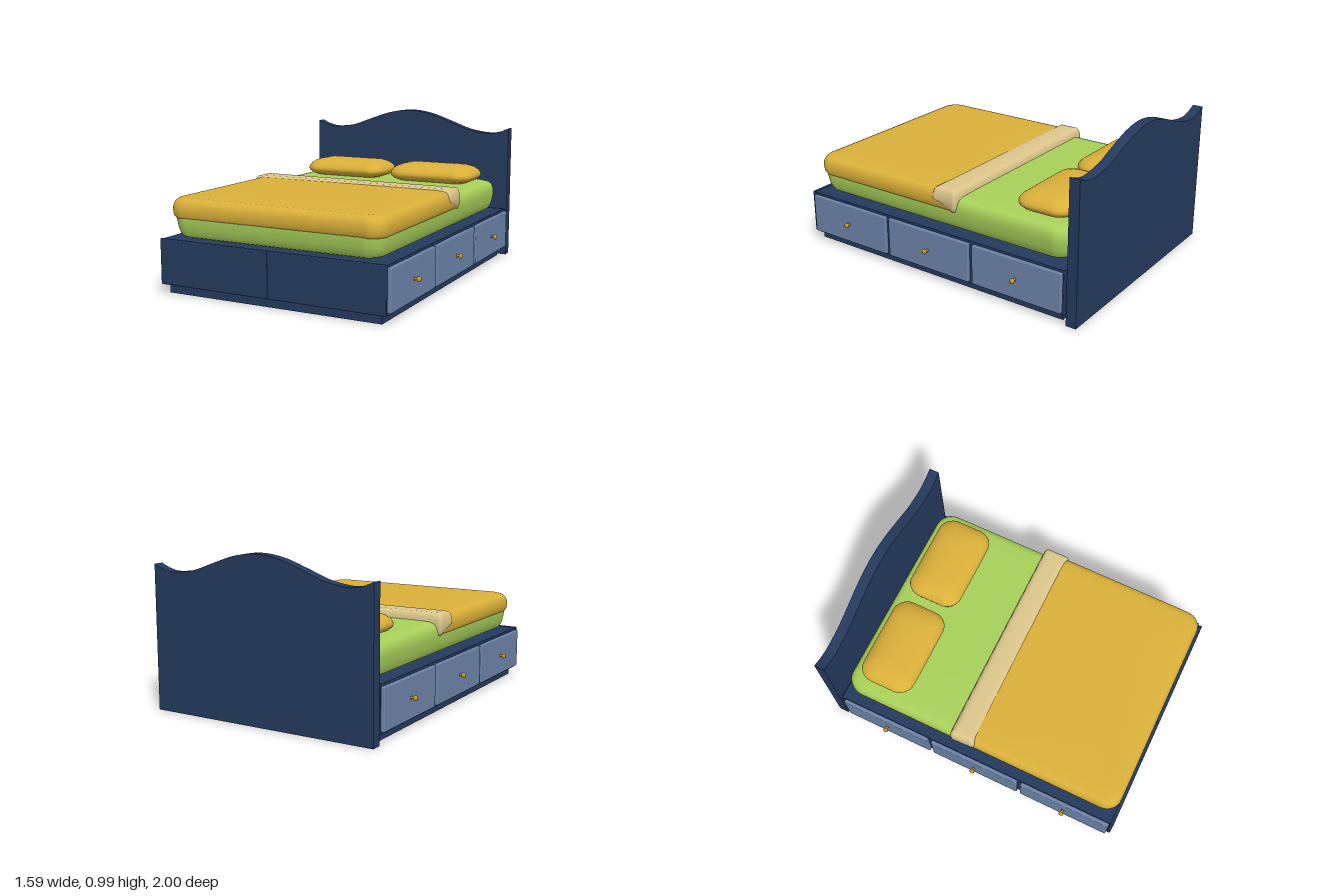
import * as THREE from 'three';
import { RoundedBoxGeometry } from 'three/addons/geometries/RoundedBoxGeometry.js';

const mat = (name, color, side = THREE.FrontSide) => {
  const m = new THREE.MeshStandardMaterial({ color, side });
  m.name = name;
  return m;
};

// Soft slab lofted from rounded rectangles; rings are [y, inset], bottom to top.
function softSlab(halfW, zBack, zFront, rFront, rBack, rings) {
  const steps = 8, pos = [], idx = [];
  const n = 4 * (steps + 1);
  const zMid = (zBack + zFront) / 2;
  for (const [y, inset] of rings) {
    for (let c = 0; c < 4; c++) {
      const front = c < 2;
      const r = Math.max((front ? rFront : rBack) - inset * 0.5, 0.01);
      const sx = c === 0 || c === 3 ? 1 : -1;
      const cx = sx * (halfW - inset - r);
      const cz = front ? zFront - inset - r : zBack + inset + r;
      for (let s = 0; s <= steps; s++) {
        const a = (c + s / steps) * Math.PI / 2;
        pos.push(cx + r * Math.cos(a), y, cz + r * Math.sin(a));
      }
    }
  }
  for (let j = 0; j < rings.length - 1; j++) {
    for (let i = 0; i < n; i++) {
      const a = j * n + i, b = j * n + (i + 1) % n;
      idx.push(a, a + n, b, b, a + n, b + n);
    }
  }
  const last = (rings.length - 1) * n, bottom = rings.length * n, top = bottom + 1;
  pos.push(0, rings[0][0], zMid, 0, rings[rings.length - 1][0], zMid);
  for (let i = 0; i < n; i++) {
    const k = (i + 1) % n;
    idx.push(bottom, i, k, top, last + k, last + i);
  }
  const g = new THREE.BufferGeometry();
  g.setAttribute('position', new THREE.Float32BufferAttribute(pos, 3));
  g.setIndex(idx);
  g.computeVertexNormals();
  return g;
}

export function createModel() {
  const bed = new THREE.Group();
  bed.name = 'bed';
  const navy = mat('navy wood', 0x243a5e);
  const slate = mat('slate drawer', 0x6c83a8);
  const green = mat('green fabric', 0xa8d05a);
  const gold = mat('golden fabric', 0xdab03a);
  const cream = mat('cream fabric', 0xdcc68c);
  const brass = mat('brass', 0xc9982a);

  const add = (name, geometry, material, x = 0, y = 0, z = 0, parent = bed) => {
    const m = new THREE.Mesh(geometry, material);
    m.name = name;
    m.position.set(x, y, z);
    parent.add(m);
    return m;
  };
  const box = (name, material, x0, x1, y0, y1, z0, z1, r = 0) => add(name,
    r ? new RoundedBoxGeometry(x1 - x0, y1 - y0, z1 - z0, 2, r)
      : new THREE.BoxGeometry(x1 - x0, y1 - y0, z1 - z0),
    material, (x0 + x1) / 2, (y0 + y1) / 2, (z0 + z1) / 2);

  // Headboard with a wavy top
  const half = [[0.745, 0.885], [0.67, 0.856], [0.59, 0.846], [0.45, 0.866], [0.3, 0.918], [0.15, 0.967]];
  const wave = [...half, [0, 0.986], ...half.map(([x, y]) => [-x, y]).reverse()]
    .map(([x, y]) => new THREE.Vector2(x, y));
  const board = new THREE.Shape([
    new THREE.Vector2(-0.745, 0), new THREE.Vector2(0.745, 0),
    ...new THREE.SplineCurve(wave).getPoints(60),
  ]);
  add('headboard', new THREE.ExtrudeGeometry(board, { depth: 0.065, bevelEnabled: false }), navy, 0, 0, -1);

  // Base: plinth, carcass, end panels in two halves
  box('plinth', navy, -0.7, 0.7, 0, 0.06, -0.89, 0.965);
  box('carcass', navy, -0.733, 0.733, 0.052, 0.328, -0.912, 0.982);
  for (const s of [-1, 1]) {
    const x0 = s < 0 ? -0.738 : 0.002, x1 = s < 0 ? -0.002 : 0.738;
    box('footPanel', navy, x0, x1, 0.055, 0.332, 0.978, 1, 0.006);
    box('backPanel', navy, x0, x1, 0.055, 0.325, -0.928, -0.908, 0.006);
  }

  // Three drawers with knobs on each side
  const knob = new THREE.LatheGeometry([
    [0, 0], [0.012, 0], [0.008, 0.004], [0.006, 0.012], [0.011, 0.017], [0.016, 0.024],
    [0.016, 0.03], [0.011, 0.037], [0, 0.04],
  ].map(([r, y]) => new THREE.Vector2(r, y)), 16);
  for (const s of [-1, 1]) {
    for (const z of [-0.6, 0.035, 0.67]) {
      const d = new THREE.Group();
      d.name = 'drawer';
      d.position.set(s * 0.744, 0.19, z);
      bed.add(d);
      add('drawerFront', new RoundedBoxGeometry(0.026, 0.25, 0.61, 2, 0.008), slate, 0, 0, 0, d);
      add('knob', knob, brass, s * 0.012, 0, 0, d).rotation.z = -s * Math.PI / 2;
    }
  }

  // Mattress
  add('mattress', softSlab(0.69, -0.9, 0.97, 0.11, 0.11, [
    [0.33, 0.1], [0.335, 0.055], [0.345, 0.032], [0.365, 0.018], [0.4, 0.008], [0.45, 0],
    [0.485, 0.002], [0.51, 0.012], [0.527, 0.03], [0.535, 0.06], [0.537, 0.15],
  ]), green);

  // Blanket and its turned-down edge
  add('blanket', softSlab(0.702, -0.13, 0.98, 0.1, 0.02, [
    [0.453, 0.06], [0.454, 0.014], [0.47, 0.004], [0.5, 0], [0.53, 0.002],
    [0.553, 0.012], [0.568, 0.028], [0.576, 0.052], [0.578, 0.12],
  ]), gold);
  const fold = softSlab(0.71, -0.145, 0.028, 0.02, 0.025, [
    [0.45, 0.03], [0.453, 0.012], [0.48, 0.002], [0.52, 0], [0.55, 0.003],
    [0.57, 0.01], [0.582, 0.02], [0.587, 0.04],
  ]);
  // Lift the lower front of the fold so its ends slope
  const fp = fold.attributes.position;
  for (let i = 0; i < fp.count; i++) {
    const y = fp.getY(i), t = Math.max(0, (fp.getZ(i) + 0.12) / 0.15);
    fp.setY(i, y < 0.52 ? y + (0.52 - y) * 0.85 * t : y);
  }
  fold.computeVertexNormals();
  add('blanketFold', fold, cream);

  // Pillows
  const pillow = softSlab(0.293, -0.18, 0.18, 0.1, 0.1, [
    [0.528, 0.12], [0.535, 0.06], [0.55, 0.022], [0.568, 0.004], [0.583, 0], [0.598, 0.004],
    [0.615, 0.017], [0.632, 0.04], [0.645, 0.075], [0.652, 0.12], [0.655, 0.165],
  ]);
  for (const s of [-1, 1]) add('pillow', pillow, gold, s * 0.323, 0, -0.66);

  return bed;
}
